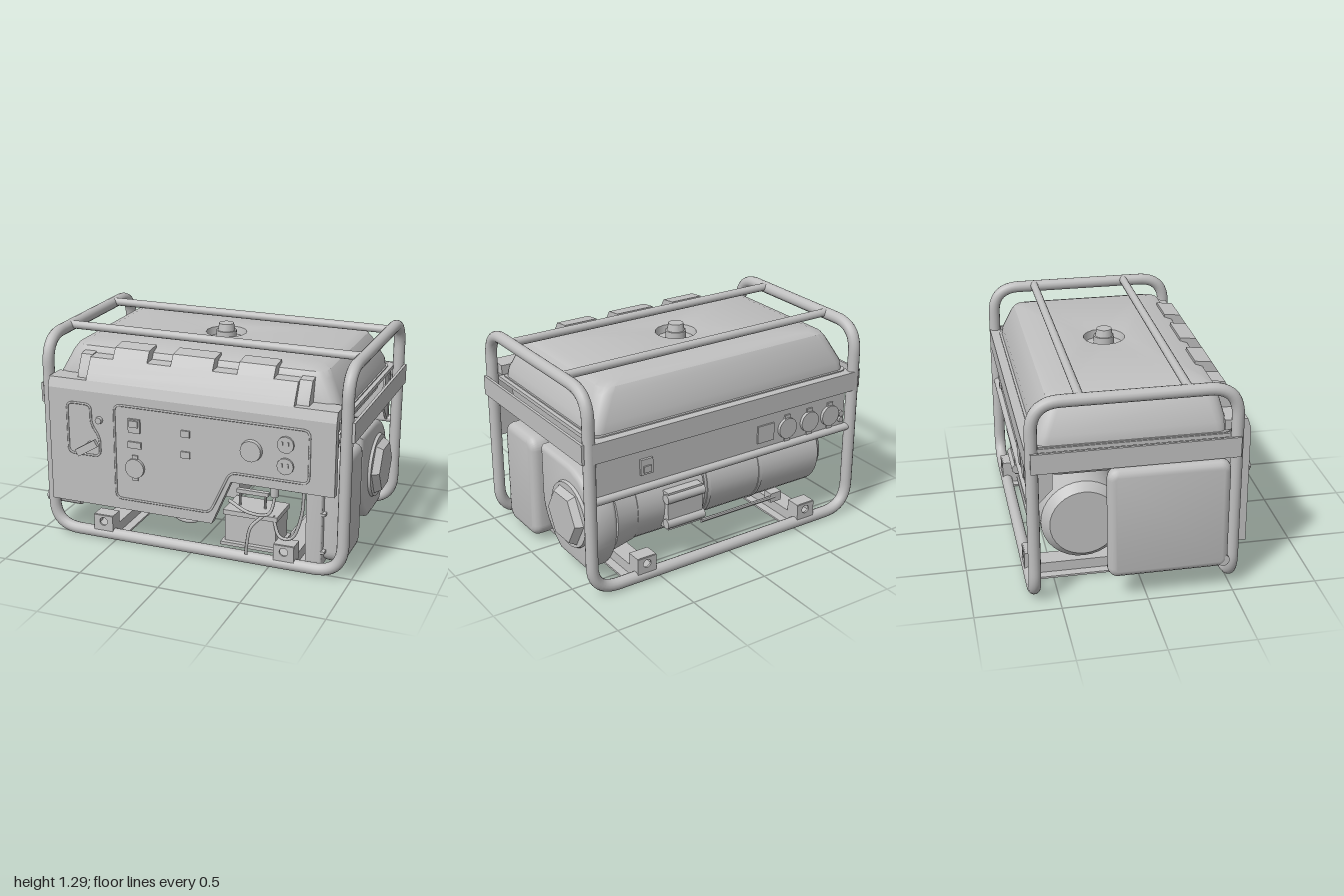
import * as THREE from 'three';
import { toCreasedNormals, mergeVertices } from 'three/addons/utils/BufferGeometryUtils.js';

const V = (x, y, z) => new THREE.Vector3(x, y, z);

export function createModel() {
  const model = new THREE.Group();
  model.name = 'generator';
  const grey = new THREE.MeshStandardMaterial({ color: 0xc0c0c0 });
  grey.name = 'lightGrey';

  const add = (name, geo) => {
    const mesh = new THREE.Mesh(geo, grey);
    mesh.name = name;
    model.add(mesh);
  };
  const box = (name, x0, x1, y0, y1, z0, z1) =>
    add(name, new THREE.BoxGeometry(x1 - x0, y1 - y0, z1 - z0).translate((x0 + x1) / 2, (y0 + y1) / 2, (z0 + z1) / 2));

  // Cylinder lying along one axis
  const cyl = (name, axis, x, y, z, r, len, r2 = r, sides = 32) => {
    const g = new THREE.CylinderGeometry(r2, r, len, sides);
    if (axis === 'x') g.rotateZ(-Math.PI / 2);
    if (axis === 'z') g.rotateX(Math.PI / 2);
    add(name, toCreasedNormals(g.translate(x, y, z), 0.6));
  };

  // Closed tube along straight runs with rounded corners
  const loop = (name, pts, r, bend, segs, sides) => {
    const path = new THREE.CurvePath();
    const n = pts.length;
    const toward = (a, b) => a.clone().add(b.clone().sub(a).setLength(Math.min(bend, a.distanceTo(b) / 2)));
    let last = toward(pts[0], pts[1]);
    for (let i = 1; i <= n; i++) {
      const p = pts[i % n], a = toward(p, pts[i - 1]), b = toward(p, pts[(i + 1) % n]);
      if (last.distanceTo(a) > 1e-4) path.add(new THREE.LineCurve3(last, a));
      path.add(new THREE.QuadraticBezierCurve3(a, p, b));
      last = b;
    }
    add(name, new THREE.TubeGeometry(path, segs, r, sides, true));
  };
  const wire = (name, r, ...pts) =>
    add(name, new THREE.TubeGeometry(new THREE.CatmullRomCurve3(pts.map(p => V(...p))), 32, r, 6));

  const polygon = pts => new THREE.Shape(pts.map(p => new THREE.Vector2(...p)));
  // Side profile carried along x
  const alongX = (name, shape, x0, x1, bevel = 0) => {
    const g = new THREE.ExtrudeGeometry(shape, {
      depth: x1 - x0 - 2 * bevel, bevelEnabled: bevel > 0, bevelSize: bevel, bevelThickness: bevel,
      bevelOffset: -bevel, bevelSegments: 3, curveSegments: 10,
    });
    add(name, toCreasedNormals(g.rotateY(Math.PI / 2).translate(x0 + bevel, 0, 0), 0.6));
  };
  const profile = pts => polygon(pts.map(([z, y]) => [-z, y]));
  const roundRect = (z0, z1, y0, y1, r) => {
    const s = new THREE.Shape();
    s.absarc(-z0 - r, y0 + r, r, -Math.PI / 2, 0);
    s.absarc(-z0 - r, y1 - r, r, 0, Math.PI / 2);
    s.absarc(-z1 + r, y1 - r, r, Math.PI / 2, Math.PI);
    s.absarc(-z1 + r, y0 + r, r, Math.PI, Math.PI * 1.5);
    return s;
  };

  // Frame: one bent tube loop, top crossbars, rear rail and side bands
  const L = -0.92, R = 0.945, F = 0.51, B = -0.64, T = 1.255, G = 0.037;
  loop('frame', [V(L, G, F), V(R, G, F), V(R, T, F), V(R, T, B), V(R, G, B), V(L, G, B), V(L, T, B), V(L, T, F)],
    0.036, 0.17, 400, 14);
  for (const z of [-0.37, 0.23]) cyl('crossbar', 'x', 0.01, 1.265, z, 0.025, R - L, 0.025, 14);
  cyl('rearRail', 'x', 0.01, 0.6, B, 0.024, R - L, 0.024, 14);
  box('rightBand', 0.978, 0.995, 0.85, 0.97, -0.65, 0.525);
  box('leftBand', -0.968, -0.953, 0.85, 0.97, -0.65, 0.525);
  box('rearBand', L, R, 0.85, 0.97, -0.675, -0.66);
  box('tankTray', -0.9, 0.92, 0.945, 0.968, -0.665, 0.48);

  // Floor channels and mounting brackets
  for (const x of [-0.575, 0.595]) {
    box('channelTop', x - 0.06, x + 0.06, 0.07, 0.085, B, F);
    for (const s of [-1, 1]) {
      box('channelWall', x + s * 0.054 - 0.006, x + s * 0.054 + 0.006, 0.012, 0.08, B, F);
      box('channelFlange', x + s * 0.083 - 0.03, x + s * 0.083 + 0.03, 0.01, 0.022, B, F);
    }
    for (const [front, back] of [[F + 0.02, F - 0.07], [B - 0.02, B + 0.07]]) {
      const plate = polygon([[x - 0.063, 0.05], [x + 0.063, 0.05], [x + 0.063, 0.16], [x - 0.063, 0.16]]);
      plate.holes.push(new THREE.Path().absarc(x, 0.12, 0.026, 0, Math.PI * 2, true));
      add('bracket', new THREE.ExtrudeGeometry(plate, { depth: 0.012, bevelEnabled: false }).translate(0, 0, front - 0.006));
      const z0 = Math.min(front, back), z1 = Math.max(front, back);
      box('bracketTop', x - 0.063, x + 0.063, 0.152, 0.163, z0, z1);
      for (const s of [-1, 1]) box('bracketSide', x + s * 0.058 - 0.005, x + s * 0.058 + 0.005, 0.05, 0.16, z0, z1);
    }
  }

  // Fuel tank: rounded rectangles [y, half width, back z, front z, corner radius]
  const rings = [
    [0.72, 0.002, -0.05, -0.046, 0.002], [0.72, 0.74, -0.51, 0.43, 0.04], [0.85, 0.86, -0.52, 0.455, 0.05],
    [0.95, 0.87, -0.56, 0.47, 0.05], [0.95, 0.895, -0.62, 0.49, 0.05], [0.975, 0.895, -0.62, 0.49, 0.05],
    [0.975, 0.885, -0.605, 0.47, 0.06], [1.03, 0.88, -0.6, 0.465, 0.07], [1.17, 0.81, -0.55, 0.435, 0.08],
    [1.205, 0.785, -0.53, 0.415, 0.08], [1.222, 0.73, -0.49, 0.37, 0.08], [1.237, 0.135, -0.205, 0.065, 0.135],
    [1.235, 0.125, -0.195, 0.055, 0.125], [1.19, 0.115, -0.185, 0.045, 0.115], [1.19, 0.002, -0.072, -0.068, 0.002],
  ];
  const pos = [], idx = [], N = 20;
  rings.forEach(([y, hx, z0, z1, r], k) => {
    for (let i = 0; i < N; i++) {
      const c = Math.floor(i / 5), a = (c + (i % 5) / 4) * Math.PI / 2;
      const sx = c === 0 || c === 3 ? 1 : -1;
      pos.push(sx * (hx - r) + r * Math.cos(a), y, (c < 2 ? z1 - r : z0 + r) + r * Math.sin(a));
      if (k < rings.length - 1) {
        const p = k * N + i, q = k * N + (i + 1) % N;
        idx.push(p, p + N, q, q, p + N, q + N);
      }
    }
  });
  const tank = new THREE.BufferGeometry();
  tank.setAttribute('position', new THREE.Float32BufferAttribute(pos, 3));
  tank.setIndex(idx);
  add('fuelTank', toCreasedNormals(mergeVertices(tank), 0.6));
  cyl('fillerNeck', 'y', 0, 1.215, -0.07, 0.062, 0.06);
  cyl('fuelCap', 'y', 0, 1.262, -0.07, 0.054, 0.054, 0.045);

  // Front panel with its cut-out corner
  const cover = polygon([[-0.88, 0.26], [0.17, 0.26], [0.29, 0.54], [0.91, 0.54], [0.91, 0.98], [-0.88, 0.98]]);
  add('frontPanel', new THREE.ExtrudeGeometry(cover, { depth: 0.05, bevelEnabled: false }).translate(0, 0, 0.55));
  // Hood over the panel, with set-back ends and three tabs on the tank
  alongX('hoodBase', profile([[0.6, 0.98], [0.58, 1.04], [0.45, 1.04], [0.45, 0.98]]), -0.88, 0.91);
  alongX('hoodSlope', profile([[0.58, 1.04], [0.56, 1.08], [0.51, 1.165], [0.43, 1.17], [0.43, 1.04]]), -0.635, 0.655);
  for (const [x0, x1] of [[-0.71, -0.635], [0.655, 0.73]])
    alongX('hoodEnd', profile([[0.54, 1.04], [0.53, 1.07], [0.48, 1.17], [0.42, 1.18], [0.42, 1.04]]), x0, x1);
  for (const [x0, x1] of [[-0.49, -0.27], [-0.12, 0.14], [0.29, 0.51]])
    alongX('hoodTab', profile([[0.53, 1.13], [0.51, 1.165], [0.47, 1.228], [0.37, 1.24], [0.37, 1.19], [0.43, 1.12]]), x0, x1);

  // Panel trim and recess outlines
  const outline = (name, pts) => loop(name, pts.map(([x, y]) => V(x, y, 0.601)), 0.007, 0.04, 160, 6);
  outline('panelTrim', [[-0.445, 0.33], [0.16, 0.33], [0.285, 0.6], [0.76, 0.6], [0.76, 0.92], [-0.445, 0.92]]);
  outline('chokeTrim', [[-0.755, 0.58], [-0.545, 0.58], [-0.545, 0.7], [-0.6, 0.78], [-0.6, 0.9], [-0.755, 0.9]]);

  // Front controls
  const frontBox = (name, x, y, w, h, d) => box(name, x - w / 2, x + w / 2, y - h / 2, y + h / 2, 0.59, 0.6 + d);
  frontBox('engineSwitch', -0.315, 0.805, 0.075, 0.085, 0.015);
  frontBox('switchRocker', -0.315, 0.82, 0.055, 0.04, 0.022);
  frontBox('hourMeter', -0.315, 0.685, 0.085, 0.04, 0.012);
  for (const y of [0.8, 0.67]) frontBox('indicator', 0.01, y, 0.055, 0.04, 0.012);
  cyl('roundSocket', 'z', -0.315, 0.54, 0.605, 0.06, 0.03);
  for (const y of [0.605, 0.475]) frontBox('socketTab', -0.315, y, 0.035, 0.03, 0.01);
  cyl('voltageDial', 'z', 0.415, 0.755, 0.605, 0.068, 0.04, 0.062);
  cyl('smallButton', 'z', -0.545, 0.81, 0.605, 0.025, 0.03, 0.02, 16);
  for (const y of [0.82, 0.69]) {
    cyl('outlet', 'z', 0.62, y, 0.603, 0.05, 0.022, 0.05, 12);
    for (const s of [-1, 1]) frontBox('outletSlot', 0.62 + s * 0.018, y + 0.008, 0.008, 0.022, 0.02);
  }
  cyl('chokeStem', 'z', -0.61, 0.65, 0.62, 0.018, 0.08, 0.018, 12);
  add('chokeLever', new THREE.BoxGeometry(0.15, 0.045, 0.025).rotateZ(0.55).translate(-0.6, 0.65, 0.665));

  // Rear panel with end gussets and sockets
  box('rearPanel', -0.87, 0.9, 0.6, 0.95, -0.635, -0.615);
  for (const x of [-0.87, 0.88])
    alongX('rearGusset', profile([[-0.615, 0.6], [-0.52, 0.7], [-0.52, 0.95], [-0.615, 0.95]]), x, x + 0.015);
  box('rearSwitch', 0.54, 0.62, 0.685, 0.78, -0.65, -0.625);
  box('rearRocker', 0.555, 0.605, 0.7, 0.74, -0.66, -0.64);
  box('rearMeter', -0.32, -0.2, 0.66, 0.77, -0.645, -0.625);
  for (const x of [-0.42, -0.59, -0.75]) {
    cyl('rearSocket', 'z', x, 0.71, -0.64, 0.065, 0.03);
    for (const y of [0.64, 0.78]) box('rearSocketTab', x - 0.02, x + 0.02, y - 0.015, y + 0.015, -0.645, -0.625);
  }
  for (const y of [0.66, 0.7]) cyl('rearBreaker', 'z', -0.84, y, -0.64, 0.018, 0.02, 0.018, 12);

  // Alternator and engine along the back
  cyl('alternator', 'x', -0.3, 0.415, -0.33, 0.245, 0.86);
  cyl('alternatorEnd', 'x', -0.755, 0.415, -0.33, 0.2, 0.05, 0.245);
  cyl('alternatorSleeve', 'x', 0.37, 0.4, -0.33, 0.255, 0.46);
  for (const x of [-0.28, 0.1]) cyl('alternatorSeam', 'x', x, 0.415, -0.33, 0.25, 0.025);
  cyl('fanCone', 'x', 0.67, 0.39, -0.32, 0.26, 0.16, 0.29);
  box('starterMount', 0.18, 0.42, 0.26, 0.5, -0.62, -0.52);
  for (const y of [0.3, 0.46]) cyl('starterRib', 'x', 0.3, y, -0.61, 0.03, 0.26, 0.03, 14);
  cyl('linkRod', 'x', -0.1, 0.24, -0.6, 0.012, 0.55, 0.012, 8);
  box('linkEnd', -0.42, -0.34, 0.21, 0.27, -0.61, -0.55);
  box('crankcase', -0.12, 0.2, 0.27, 0.62, -0.15, 0.22);

  // Recoil starter housing with stepped hexagon cap
  const housing = new THREE.Shape();
  housing.moveTo(-0.01, 0.69);
  housing.lineTo(0.3, 0.69);
  housing.bezierCurveTo(0.48, 0.68, 0.6, 0.56, 0.6, 0.38);
  housing.bezierCurveTo(0.6, 0.24, 0.54, 0.15, 0.48, 0.09);
  housing.lineTo(0.2, 0.09);
  housing.bezierCurveTo(0.06, 0.17, -0.01, 0.27, -0.01, 0.4);
  alongX('recoilHousing', housing, 0.74, 0.905, 0.03);
  cyl('recoilRing', 'x', 0.908, 0.39, -0.34, 0.207, 0.03, 0.197);
  cyl('recoilCap', 'x', 0.945, 0.39, -0.34, 0.18, 0.045, 0.155, 6);

  // Air cleaner box beside the starter
  alongX('airBoxBase', roundRect(0.02, 0.46, 0.02, 0.71, 0.04), 0.7, 0.8, 0.01);
  alongX('airBoxCover', roundRect(0.06, 0.425, 0.035, 0.7, 0.08), 0.78, 0.93, 0.045);
  for (const y of [0.12, 0.36, 0.595])
    for (const z of [0.04, 0.445]) box('airBoxClip', 0.79, 0.82, y - 0.008, y + 0.008, z - 0.02, z + 0.02);
  cyl('fuelValve', 'y', 0.79, 0.72, 0.23, 0.03, 0.05, 0.035, 12);

  // Muffler: finned rounded box, end shield and outlet
  alongX('muffler', roundRect(0.03, 0.4, 0.19, 0.62, 0.06), -0.77, -0.16, 0.03);
  for (let i = 0; i < 11; i++) {
    const x = -0.78 + i * 0.057;
    alongX('mufflerFin', roundRect(0.01, 0.43, 0.16, 0.64, 0.05), x, x + 0.032);
  }
  alongX('endShield', roundRect(-0.23, 0.47, 0.16, 0.84, 0.06), -1, -0.9, 0.04);
  box('endShieldMount', -0.91, -0.78, 0.2, 0.8, -0.16, 0.42);
  cyl('exhaustPipe', 'x', -0.88, 0.205, 0.44, 0.036, 0.23, 0.036, 16);

  // Battery, terminals and cables
  box('battery', 0.2, 0.52, 0.09, 0.28, 0.25, 0.46);
  box('batteryLid', 0.19, 0.53, 0.27, 0.3, 0.24, 0.47);
  box('batteryTray', 0.18, 0.54, 0.08, 0.1, 0.23, 0.49);
  box('batteryClamp', 0.24, 0.44, 0.38, 0.405, 0.35, 0.38);
  for (const x of [0.26, 0.42]) cyl('clampRod', 'y', x, 0.34, 0.365, 0.008, 0.1, 0.008, 8);
  box('relay', 0.42, 0.52, 0.45, 0.53, 0.3, 0.38);
  wire('hangingCable', 0.014, [-0.16, 0.28, 0.45], [-0.12, 0.2, 0.45], [-0.05, 0.18, 0.45], [0.02, 0.2, 0.45], [0.05, 0.28, 0.45]);
  wire('batteryCable', 0.01, [0.24, 0.38, 0.5], [0.38, 0.34, 0.54], [0.5, 0.35, 0.54], [0.53, 0.45, 0.52], [0.53, 0.54, 0.52]);
  wire('groundCable', 0.01, [0.37, 0.08, 0.56], [0.38, 0.16, 0.57], [0.4, 0.26, 0.56], [0.46, 0.32, 0.5]);
  wire('fuelHose', 0.01, [0.5, 0.3, 0.45], [0.55, 0.19, 0.48], [0.63, 0.2, 0.5], [0.69, 0.36, 0.5], [0.7, 0.56, 0.5]);
  cyl('cablePlug', 'y', 0.53, 0.49, 0.52, 0.025, 0.06, 0.025, 12);
  return model;
}
